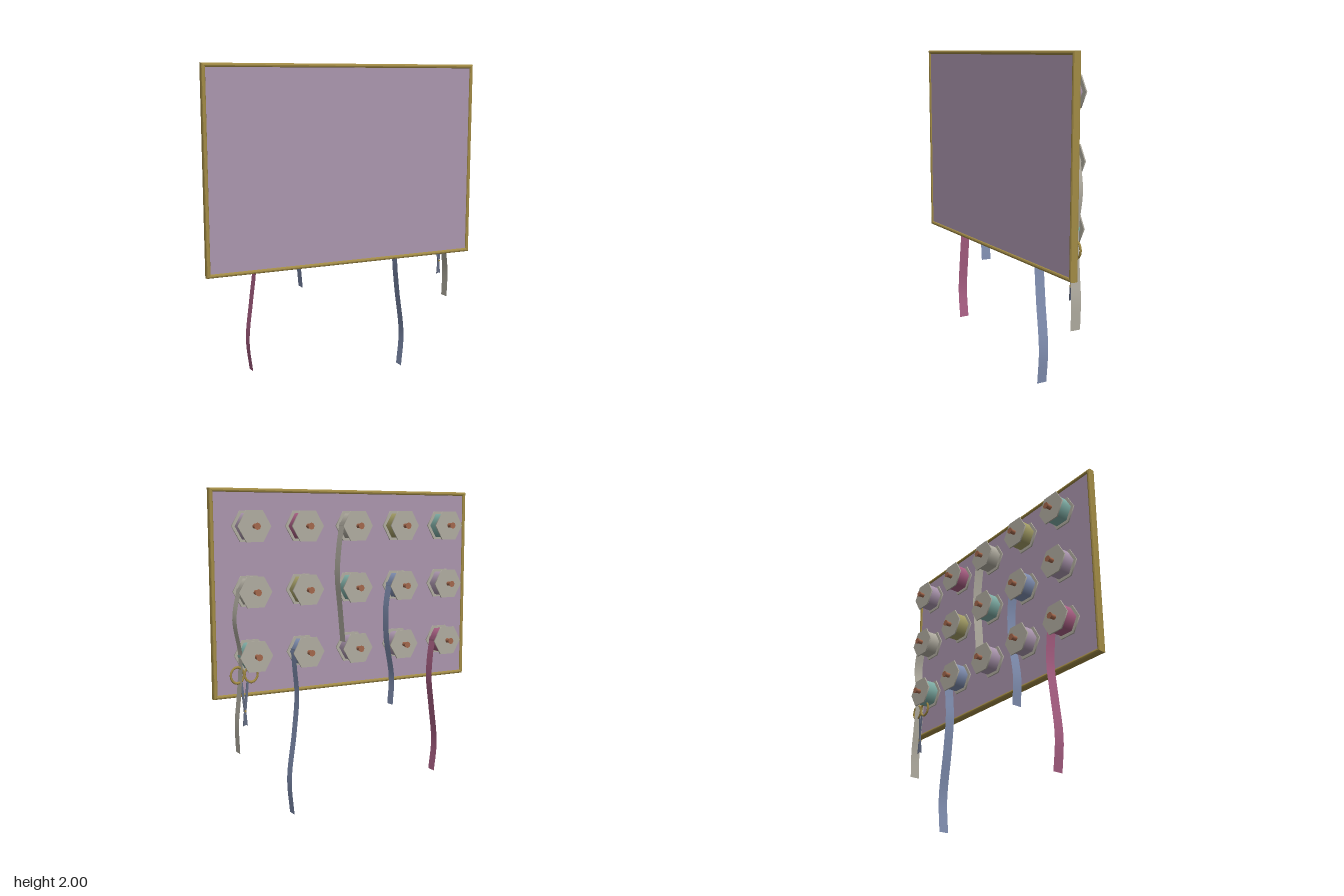
import * as THREE from 'three';

const mat = (name, color) => new THREE.MeshStandardMaterial({ name, color });

export function createModel() {
  const M = {
    purple: mat('lavender', 0xab96ae), gold: mat('gold', 0xa28b45),
    grey: mat('warmGrey', 0xb0aca0), copper: mat('copper', 0xa3674c),
    teal: mat('teal', 0x7fada5), olive: mat('olive', 0xa39d66),
    pink: mat('rose', 0xa85f83), blue: mat('blue', 0x808eb0), steel: mat('steel', 0x636c82),
  };
  M.blue.side = M.pink.side = M.grey.side = THREE.DoubleSide;
  const model = new THREE.Group();
  const add = (parent, name, geo, material, x = 0, y = 0, z = 0) => {
    const m = new THREE.Mesh(geo, material);
    m.name = name;
    m.position.set(x, y, z);
    parent.add(m);
    return m;
  };
  const rect = (C, w, h) => {
    const s = new C();
    s.moveTo(-w, -h); s.lineTo(w, -h); s.lineTo(w, h); s.lineTo(-w, h); s.closePath();
    return s;
  };

  // Board: bevelled frame around a recessed panel
  const b = 0.01;
  const outline = rect(THREE.Shape, 0.915 - b, 0.62 - b);
  outline.holes.push(rect(THREE.Path, 0.895 + b - 0.004, 0.6 + b - 0.004));
  const frame = new THREE.ExtrudeGeometry(outline, {
    depth: 0.048 - 2 * b, bevelEnabled: true, bevelSize: b, bevelThickness: b, bevelSegments: 2,
  });
  add(model, 'frame', frame, M.gold, 0, 1.38, 0.057 + b);
  add(model, 'panel', new THREE.BoxGeometry(1.8, 1.21, 0.03), M.purple, 0, 1.38, 0.081);

  // Spools: hexagonal flanges and rolls, each on a headed peg
  const disc = (r, h, n) => new THREE.CylinderGeometry(r, r, h, n, 1, false, Math.PI / 6).rotateX(Math.PI / 2);
  const flange = disc(0.105, 0.008, 6), roll = disc(0.087, 0.072, 6);
  const peg = disc(0.015, 0.165, 8);
  const head = new THREE.CylinderGeometry(0.021, 0.016, 0.014, 8).rotateX(-Math.PI / 2);
  const colX = [-0.69, -0.345, 0, 0.345, 0.69], rowY = [1.78, 1.4, 1.02];
  const rollColours = [
    ['teal', 'olive', 'grey', 'pink', 'purple'],
    ['purple', 'blue', 'teal', 'olive', 'grey'],
    ['pink', 'purple', 'purple', 'blue', 'teal'],
  ];
  rowY.forEach((y, r) => colX.forEach((x, c) => {
    const spool = new THREE.Group();
    spool.name = 'spool';
    spool.position.set(x, y, 0);
    model.add(spool);
    add(spool, 'frontFlange', flange, M.grey, 0, 0, 0.034);
    add(spool, 'backFlange', flange, M.grey, 0, 0, -0.06);
    add(spool, 'ribbonRoll', roll, M[rollColours[r][c]], 0, 0, -0.01);
    add(spool, 'peg', peg, M.copper, 0, 0, -0.015);
    add(spool, 'pegHead', head, M.copper, 0, 0, -0.098);
  }));

  // Loose ribbon ends: thin strips following a wavy path in x and y
  const ribbon = (material, pts) => {
    const curve = new THREE.CatmullRomCurve3(pts.map(([x, y]) => new THREE.Vector3(x, y, 0)));
    const geo = new THREE.PlaneGeometry(0.066, 1, 1, 24);
    const p = geo.attributes.position;
    for (let i = 0; i < p.count; i++) {
      const q = curve.getPoint(0.5 - p.getY(i));
      p.setXYZ(i, q.x, q.y, -0.008 + p.getX(i));
    }
    geo.computeVertexNormals();
    add(model, 'ribbonTail', geo, material);
  };
  ribbon(M.pink, [[-0.61, 1.04], [-0.592, 0.93], [-0.583, 0.77], [-0.605, 0.58], [-0.633, 0.32], [-0.613, 0.125]]);
  ribbon(M.blue, [[-0.262, 1.42], [-0.238, 1.25], [-0.245, 1.05], [-0.285, 0.8], [-0.275, 0.62]]);
  ribbon(M.grey, [[0.083, 1.8], [0.105, 1.66], [0.118, 1.48], [0.098, 1.26], [0.08, 1.06]]);
  ribbon(M.blue, [[0.427, 1.04], [0.418, 0.92], [0.405, 0.75], [0.425, 0.52], [0.462, 0.22], [0.445, 0]]);
  ribbon(M.grey, [[0.773, 1.42], [0.805, 1.24], [0.772, 1.02], [0.788, 0.77], [0.803, 0.62], [0.799, 0.44]]);

  // Scissors: two crossing blades with ring handles
  const scissors = new THREE.Group();
  scissors.name = 'scissors';
  scissors.position.set(0.75, 0.69, -0.01);
  model.add(scissors);
  for (const s of [-1, 1]) {
    const blade = new THREE.Shape();
    blade.moveTo(-s * 0.016, -0.09);
    blade.lineTo(-s * 0.002, -0.085);
    blade.lineTo(s * 0.009, 0.02);
    blade.lineTo(s * 0.026, 0.18);
    blade.lineTo(s * 0.012, 0.18);
    blade.lineTo(-s * 0.008, 0);
    const geo = new THREE.ExtrudeGeometry(blade, { depth: 0.005, bevelEnabled: false });
    add(scissors, 'blade', geo, M.steel, 0, 0, s > 0 ? 0 : -0.006);
    const ring = add(scissors, 'handle', new THREE.TorusGeometry(0.042, 0.007, 6, 16), M.gold, s * 0.044, 0.22, 0);
    ring.scale.y = 1.15;
  }
  add(scissors, 'pivot', disc(0.007, 0.018, 8), M.gold);
  return model;
}
